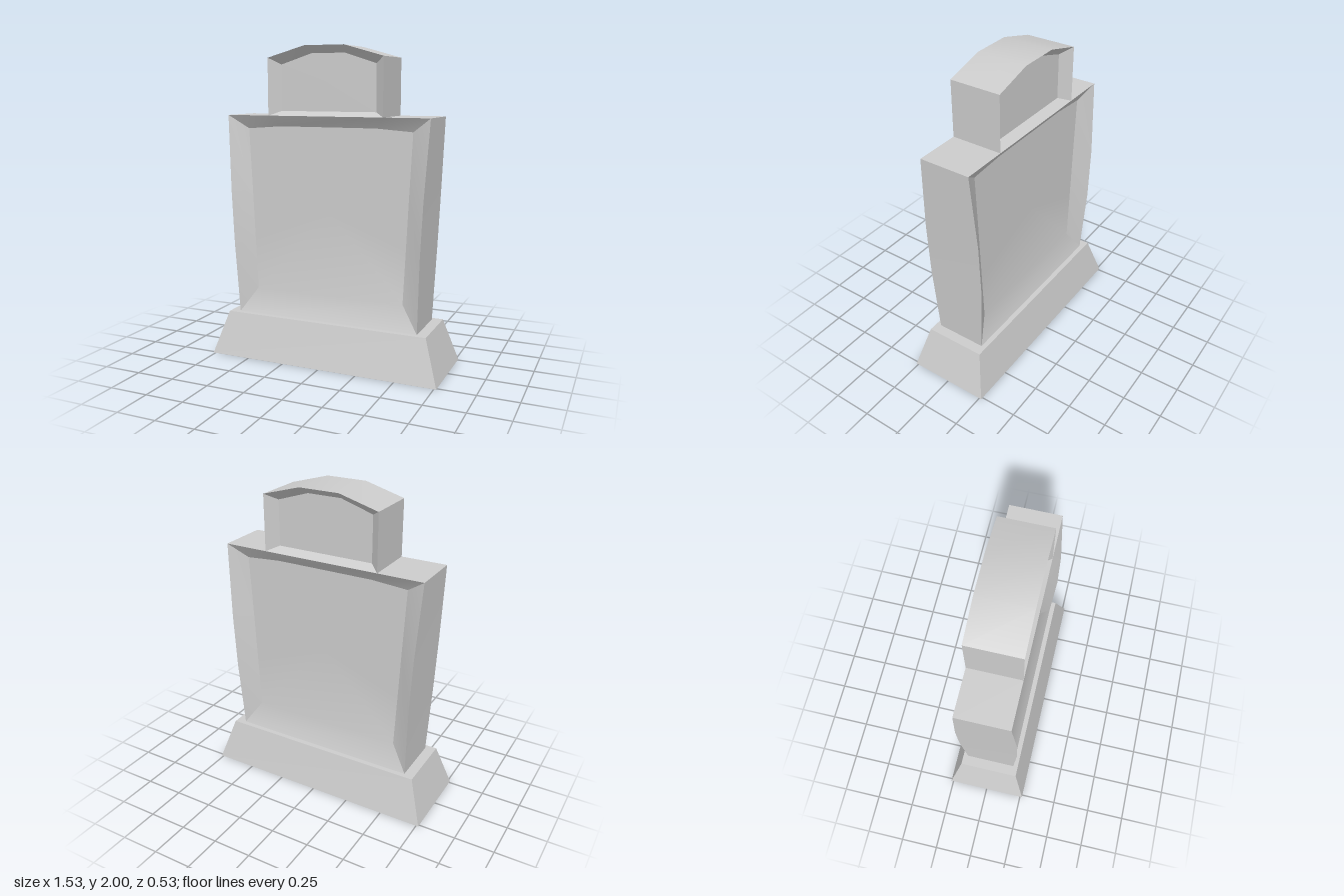
import * as THREE from 'three';
import { toCreasedNormals } from 'three/addons/utils/BufferGeometryUtils.js';

const material = new THREE.MeshStandardMaterial({ color: 0xcccccc, side: THREE.DoubleSide });

// Mirror a right-hand half outline (bottom to top) into a full counter-clockwise loop
function mirrorLoop(half) {
  return [...half, ...half.slice().reverse().map(([x, y, z]) => [-x, y, z])];
}

// Slab with a sunken, bevelled panel on both the front and the back.
// rim: half outline of [x, y, z]; inner: matching half outline of [x, y]
function recessedSlab(rim, inner, panelZ) {
  const outer = mirrorLoop(rim);
  const panel = mirrorLoop(inner.map(([x, y]) => [x, y, panelZ]));
  const midY = (inner[0][1] + inner[inner.length - 1][1]) / 2;
  const centre = [0, midY, panelZ];
  const back = ([x, y, z]) => [x, y, -z];
  const positions = [];
  const tri = (a, b, c) => positions.push(...a, ...b, ...c);
  const quad = (a, b, c, d) => { tri(a, b, c); tri(a, c, d); };

  outer.forEach((a, i) => {
    const j = (i + 1) % outer.length;
    const b = outer[j], p = panel[i], q = panel[j];
    quad(a, back(a), back(b), b);                    // edge wall
    quad(a, b, q, p);                                // front bevel
    quad(back(b), back(a), back(p), back(q));        // back bevel
    tri(centre, p, q);                               // front panel
    tri(back(centre), back(q), back(p));             // back panel
  });

  const geometry = new THREE.BufferGeometry();
  geometry.setAttribute('position', new THREE.Float32BufferAttribute(positions, 3));
  return toCreasedNormals(geometry, 0.35);
}

// Tapered plinth, hollow underneath
function plinthGeometry() {
  const height = 0.28;
  const geometry = new THREE.BoxGeometry(2, height, 2).translate(0, height / 2, 0);
  const p = geometry.attributes.position;
  for (let i = 0; i < p.count; i++) {
    const top = p.getY(i) > 0.1;
    p.setX(i, p.getX(i) * (top ? 0.675 : 0.765));
    p.setZ(i, p.getZ(i) * (top ? 0.195 : 0.265));
  }
  // drop the downward face
  geometry.setIndex(Array.from(geometry.index.array).filter((_, i) => i < 18 || i >= 24));
  geometry.computeVertexNormals();
  return geometry;
}

export function createModel() {
  const group = new THREE.Group();
  const add = (name, geometry) => {
    const mesh = new THREE.Mesh(geometry, material);
    mesh.name = name;
    group.add(mesh);
  };

  add('plinth', plinthGeometry());

  // Main stone: widens upward and bulges in depth around the middle
  add('body', recessedSlab(
    [[0.61, 0.28, 0.163], [0.627, 0.74, 0.19], [0.643, 1.09, 0.19], [0.67, 1.575, 0.163], [0.38, 1.575, 0.163]],
    [[0.5, 0.44], [0.516, 0.78], [0.53, 1.09], [0.55, 1.49], [0.32, 1.507]],
    0.11
  ));

  // Small arched stone on top
  add('archedTop', recessedSlab(
    [[0.38, 1.575, 0.163], [0.38, 1.93, 0.163], [0.13, 2, 0.163]],
    [[0.315, 1.603], [0.315, 1.89], [0.11, 1.955]],
    0.1
  ));

  return group;
}
